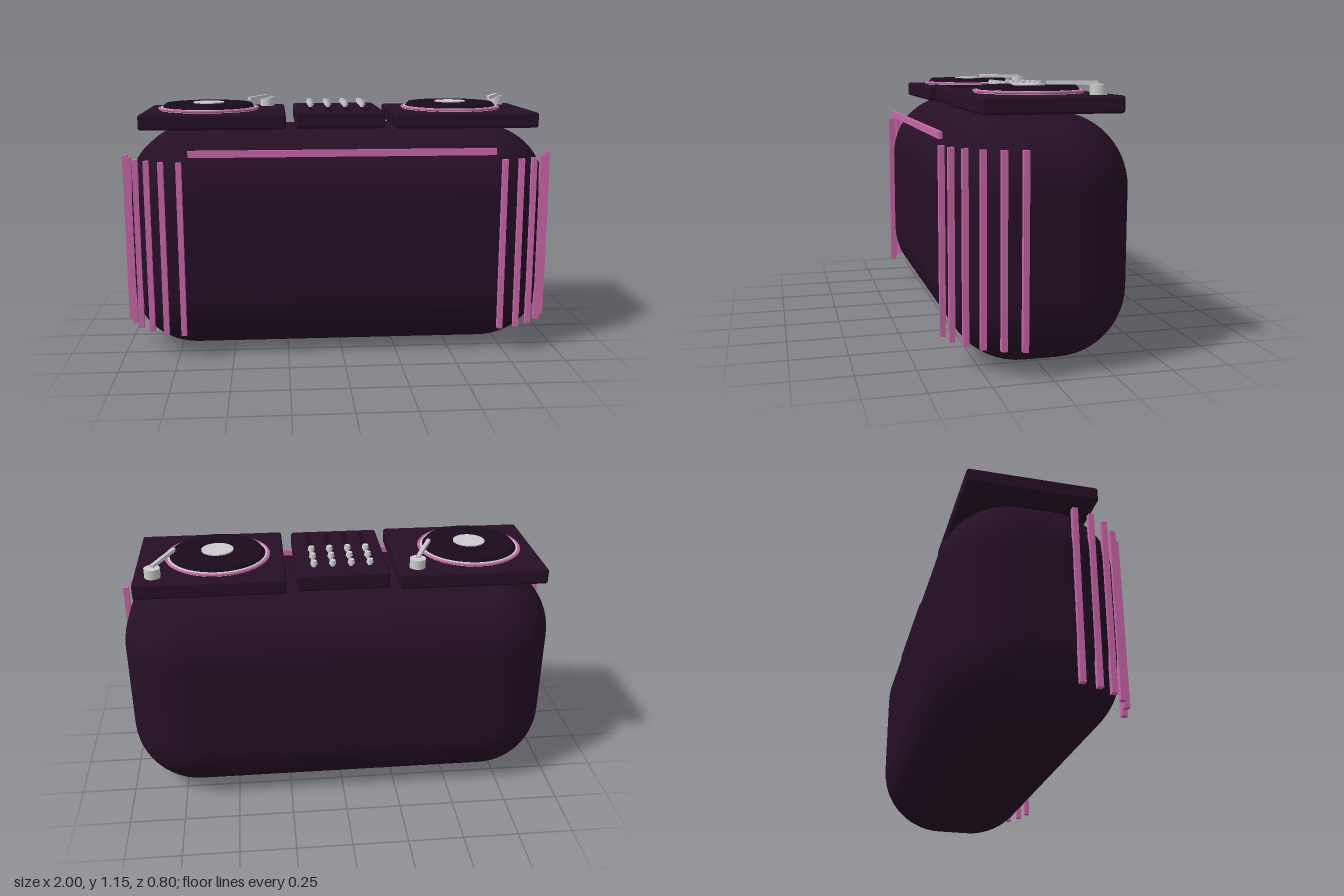
import * as THREE from 'three';
import { RoundedBoxGeometry } from 'three/addons/geometries/RoundedBoxGeometry.js';

const flat = (name, color) => {
  const m = new THREE.MeshStandardMaterial({ color });
  m.name = name;
  return m;
};

export function createModel() {
  const plum = flat('darkPlum', 0x260f26);
  const black = flat('recordBlack', 0x190a1a);
  const pink = flat('pink', 0xcc68aa);
  const silver = flat('silver', 0xcccccc);

  const root = new THREE.Group();
  root.name = 'djBooth';

  const add = (parent, name, geometry, material, x, y, z) => {
    const mesh = new THREE.Mesh(geometry, material);
    mesh.name = name;
    mesh.position.set(x, y, z);
    parent.add(mesh);
    return mesh;
  };
  const disc = (radius, height, sides = 48, bottom = radius) =>
    new THREE.CylinderGeometry(radius, bottom, height, sides);

  // Pillowy booth body
  add(root, 'boothBody', new RoundedBoxGeometry(1.97, 1.03, 0.772, 8, 0.31), plum, 0, 0.515, -0.011);

  // Upright strips around both front corners
  const strips = [[0.718, 0.387], [0.798, 0.365], [0.866, 0.324], [0.922, 0.266], [0.962, 0.194], [0.988, 0.116]];
  const stripGeometry = new THREE.BoxGeometry(0.024, 0.78, 0.024);
  for (const side of [-1, 1]) {
    for (const [x, z] of strips) add(root, 'cornerStrip', stripGeometry, pink, side * x, 0.515, z);
  }

  // Long strip across the upper front
  add(root, 'frontStrip', new THREE.BoxGeometry(1.355, 0.03, 0.016), pink, 0, 0.94, 0.381);

  // Turntables: both have the arm on the same side
  for (const x of [-0.577, 0.573]) {
    const deck = new THREE.Group();
    deck.name = 'turntable';
    deck.position.set(x, 0, 0);
    root.add(deck);
    add(deck, 'deckBase', new RoundedBoxGeometry(0.655, 0.07, 0.575, 3, 0.012), plum, 0, 1.065, -0.027);

    const px = -0.031, pz = -0.023;
    add(deck, 'platter', disc(0.222, 0.016, 48, 0.23), silver, px, 1.106, pz);
    const ring = add(deck, 'platterRing', new THREE.TorusGeometry(0.23, 0.006, 8, 56), pink, px, 1.108, pz);
    ring.rotation.x = Math.PI / 2;
    add(deck, 'record', disc(0.2, 0.022, 48, 0.219), black, px, 1.12, pz);
    add(deck, 'recordLabel', disc(0.072, 0.006, 32), silver, px, 1.133, pz);

    // Tone arm running from its pivot to the record
    const pivot = new THREE.Vector3(0.243, 1.147, -0.23);
    const tip = new THREE.Vector3(0.16, 1.147, -0.04);
    add(deck, 'armPivot', disc(0.035, 0.042, 20), silver, pivot.x, 1.121, pivot.z);
    const middle = pivot.clone().add(tip).multiplyScalar(0.5);
    const arm = add(deck, 'toneArm', new THREE.BoxGeometry(0.016, 0.016, pivot.distanceTo(tip)),
      silver, middle.x, middle.y, middle.z);
    arm.rotation.y = Math.atan2(tip.x - pivot.x, tip.z - pivot.z);
  }

  // Mixer with a grid of knobs and four fader slots
  const mixer = new THREE.Group();
  mixer.name = 'mixer';
  root.add(mixer);
  add(mixer, 'mixerBase', new RoundedBoxGeometry(0.405, 0.077, 0.528, 3, 0.012), plum, -0.003, 1.0685, -0.031);
  const stemGeometry = disc(0.01, 0.014, 12);
  const knobGeometry = disc(0.013, 0.018, 16, 0.016);
  const slotGeometry = new THREE.BoxGeometry(0.02, 0.004, 0.15);
  for (let i = 0; i < 4; i++) {
    const x = -0.127 + i * 0.0823;
    for (let j = 0; j < 3; j++) {
      const z = -0.198 + j * 0.083;
      add(mixer, 'knobStem', stemGeometry, silver, x, 1.112, z);
      add(mixer, 'knob', knobGeometry, silver, x, 1.126, z);
    }
    add(mixer, 'faderSlot', slotGeometry, black, x, 1.108, 0.12);
  }

  return root;
}
